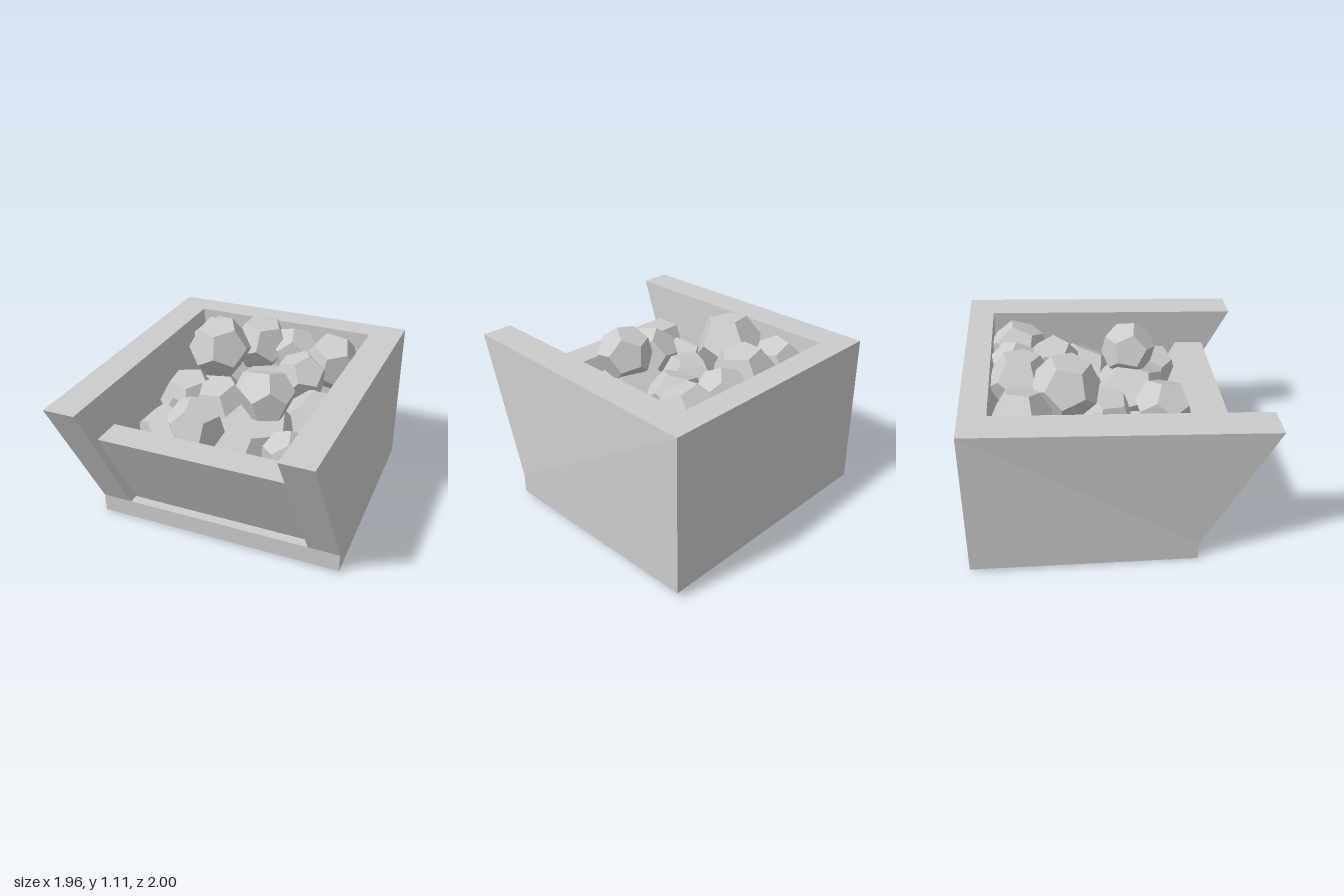
import * as THREE from 'three';

const grey = () => new THREE.MeshStandardMaterial({ color: 0xcccccc, flatShading: true });

// Slight sideways lean that grows toward the top of the flared front.
function lean(geometry) {
  const p = geometry.attributes.position;
  for (let i = 0; i < p.count; i++) {
    const rise = Math.max(0, (p.getY(i) - 0.12) / 0.83);
    const front = Math.max(0, p.getZ(i) / 1.7);
    p.setX(i, p.getX(i) - 0.06 * rise * front);
  }
  geometry.computeVertexNormals();
  return geometry;
}

// Extrude a side profile of [z, y] points between two x positions.
function slab(name, x0, x1, profile) {
  const shape = new THREE.Shape(profile.map(([z, y]) => new THREE.Vector2(-z, y)));
  const geometry = new THREE.ExtrudeGeometry(shape, { depth: x1 - x0, bevelEnabled: false });
  geometry.rotateY(Math.PI / 2);
  geometry.translate(x0, 0, 0);
  const mesh = new THREE.Mesh(lean(geometry), grey());
  mesh.name = name;
  return mesh;
}

export function createModel() {
  const model = new THREE.Group();
  model.name = 'rockBin';

  // Box: local z runs from the back (0) to the front
  const bin = new THREE.Group();
  bin.name = 'bin';
  const W = 0.782, T = 0.195, H = 0.95;
  const side = [[0, 0], [1.34, 0], [1.34, 0.12], [1.71, H], [0, H]];
  bin.add(slab('leftWall', W - T, W, side));
  bin.add(slab('rightWall', -W, -W + T, side));
  bin.add(slab('base', -W + T, W - T, [[0, 0], [1.34, 0], [1.34, 0.12], [0, 0.12]]));
  bin.add(slab('backWall', -W + T, W - T, [[0, 0.12], [0.155, 0.12], [0.155, H], [0, H]]));
  bin.add(slab('frontPanel', -W + T, W - T, [[1.11, 0.12], [1.28, 0.12], [1.55, 0.71], [1.37, 0.71]]));

  // Turn the box on the ground with a very small tilt
  bin.matrixAutoUpdate = false;
  bin.matrix.makeBasis(
    new THREE.Vector3(0.978, 0.013, 0.209),
    new THREE.Vector3(-0.01, 1, 0.018),
    new THREE.Vector3(-0.209, -0.016, 0.978),
  ).setPosition(0.205, 0.03, -0.835);
  bin.matrix.decompose(bin.position, bin.quaternion, bin.scale);
  bin.matrixAutoUpdate = true;
  model.add(bin);

  // Rocks: x, y, z, radius
  const rocks = new THREE.Group();
  rocks.name = 'rocks';
  const piles = [
    [-0.27, 0.83, -0.58, 0.18], [0.03, 0.88, -0.52, 0.19], [0.25, 0.85, -0.51, 0.16],
    [0.5, 0.82, -0.44, 0.19], [-0.2, 0.93, -0.3, 0.2], [0.33, 0.79, -0.25, 0.17],
    [0.44, 0.58, -0.04, 0.23], [0.12, 0.58, 0.18, 0.26], [0.18, 0.89, 0.2, 0.17],
    [-0.23, 0.7, 0.29, 0.18], [0.34, 0.63, 0.42, 0.16], [-0.4, 0.55, 0.18, 0.22],
    [-0.15, 0.64, -0.06, 0.19], [-0.38, 0.6, -0.18, 0.2], [0.12, 0.62, -0.22, 0.25],
  ];
  // Lower layer of larger rocks
  for (let i = 0; i < 3; i++) {
    for (let j = 0; j < 3; j++) {
      const a = (i - 1) * 0.31, b = (j - 1) * 0.31;
      piles.push([a - b * 0.21, 0.38, b + a * 0.21 - 0.1, 0.25]);
    }
  }
  let seed = 7;
  const random = () => (seed = (seed * 16807) % 2147483647) / 2147483647;
  piles.forEach(([x, y, z, r]) => {
    const rock = new THREE.Mesh(new THREE.DodecahedronGeometry(r), grey());
    rock.name = 'rock';
    rock.position.set(x, y, z);
    rock.rotation.set(random() * 6.28, random() * 6.28, random() * 6.28);
    rocks.add(rock);
  });
  model.add(rocks);
  return model;
}
